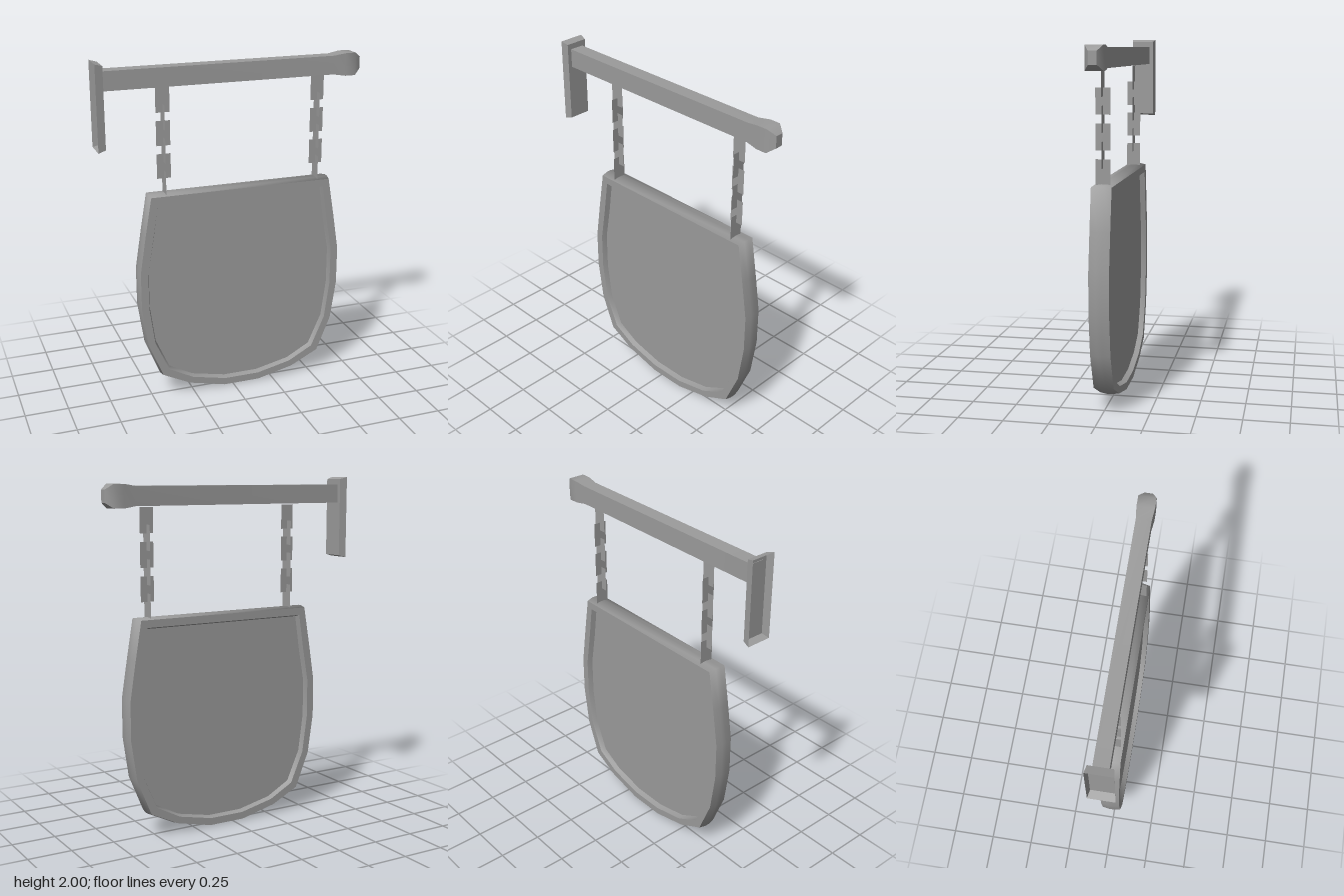
import * as THREE from 'three';
import { toCreasedNormals } from 'three/addons/utils/BufferGeometryUtils.js';

const solid = new THREE.MeshStandardMaterial({ color: 0x9b9b9b });
const thin = new THREE.MeshStandardMaterial({ color: 0x9b9b9b, side: THREE.DoubleSide });

// Joins convex rings of [x, y, z] points, each counter-clockwise seen from the first ring's end
function loft(rings, capStart, capEnd, crease = 0.8) {
  const n = rings[0].length, last = (rings.length - 1) * n, index = [];
  for (let r = 0; r < rings.length - 1; r++) {
    for (let i = 0; i < n; i++) {
      const a = r * n + i, b = r * n + (i + 1) % n;
      index.push(a, a + n, b, b, a + n, b + n);
    }
  }
  for (let i = 1; i < n - 1; i++) {
    if (capStart) index.push(0, i, i + 1);
    if (capEnd) index.push(last, last + i + 1, last + i);
  }
  const geo = new THREE.BufferGeometry();
  geo.setAttribute('position', new THREE.Float32BufferAttribute(rings.flat(2), 3));
  geo.setIndex(index);
  return toCreasedNormals(geo, crease);
}

// Rectangle across the x axis
const rectX = (x, cy, hy, hz) =>
  [[x, cy - hy, -hz], [x, cy + hy, -hz], [x, cy + hy, hz], [x, cy - hy, hz]];

function add(parent, name, geo, material = solid) {
  const mesh = new THREE.Mesh(geo, material);
  mesh.name = name;
  parent.add(mesh);
  return mesh;
}

export function createModel() {
  const model = new THREE.Group();
  model.name = 'hangingSign';

  // Beam with a swollen, tapered tip
  const beamProfile = [
    [0.77, 0.034, 0.022], [0.73, 0.064, 0.048], [0.67, 0.064, 0.048],
    [0.6, 0.053, 0.041], [-0.73, 0.053, 0.041],
  ];
  add(model, 'beam',
    loft(beamProfile.map(([x, hy, hz]) => rectX(x, 1.903, hy, hz)), true, true));

  // Wall plate, flared and open towards the wall
  add(model, 'wallPlate',
    loft([rectX(-0.727, 1.763, 0.225, 0.064), rectX(-0.77, 1.763, 0.237, 0.073)], true, false), thin);

  // Sign board: half outlines as [half width, y], mirrored about its middle
  const cx = 0.052, cz = -0.004;
  const outer = [[0.542, 1.247], [0.582, 1.017], [0.616, 0.797], [0.616, 0.577],
    [0.582, 0.345], [0.497, 0.135], [0.33, 0.053], [0.11, 0]];
  const inner = [[0.5, 1.197], [0.53, 0.997], [0.565, 0.797], [0.565, 0.577],
    [0.535, 0.357], [0.455, 0.173], [0.31, 0.095], [0.105, 0.049]];
  // t = 0 follows the outer outline, t = 1 the inner edge of the rim
  const ring = ([t, z]) => {
    const half = outer.map(([x, y], i) =>
      [x + (inner[i][0] - x) * t, y + (inner[i][1] - y) * t]);
    const right = half.map(([x, y]) => [cx + x, y, cz + z]).reverse();
    const left = half.map(([x, y]) => [cx - x, y, cz + z]);
    return [...right, ...left];
  };
  const front = [[1.2, 0.025], [1, 0.055], [0.15, 0.055]];
  const back = front.map(([t, z]) => [t, -z]).reverse();
  add(model, 'signFront', loft(front.map(ring), true, false));
  add(model, 'signBack', loft(back.map(ring), false, true));
  // Softly shaded edge between the two faces
  const edge = [front[2], [0, 0.015], [0, -0.015], back[0]];
  add(model, 'signEdge', loft(edge.map(ring), false, false, 1.6));

  // Chains of flat links, turned a quarter each time
  const link = new THREE.PlaneGeometry(0.08, 0.14);
  for (const [name, x] of [['rightChain', -0.393], ['leftChain', 0.52]]) {
    const chain = new THREE.Group();
    chain.name = name;
    for (let i = 0; i < 6; i++) {
      const mesh = add(chain, 'chainLink', link, thin);
      mesh.position.set(x, 1.773 - i * 0.093, 0);
      mesh.rotation.y = (i % 2) * Math.PI / 2;
    }
    model.add(chain);
  }
  return model;
}
